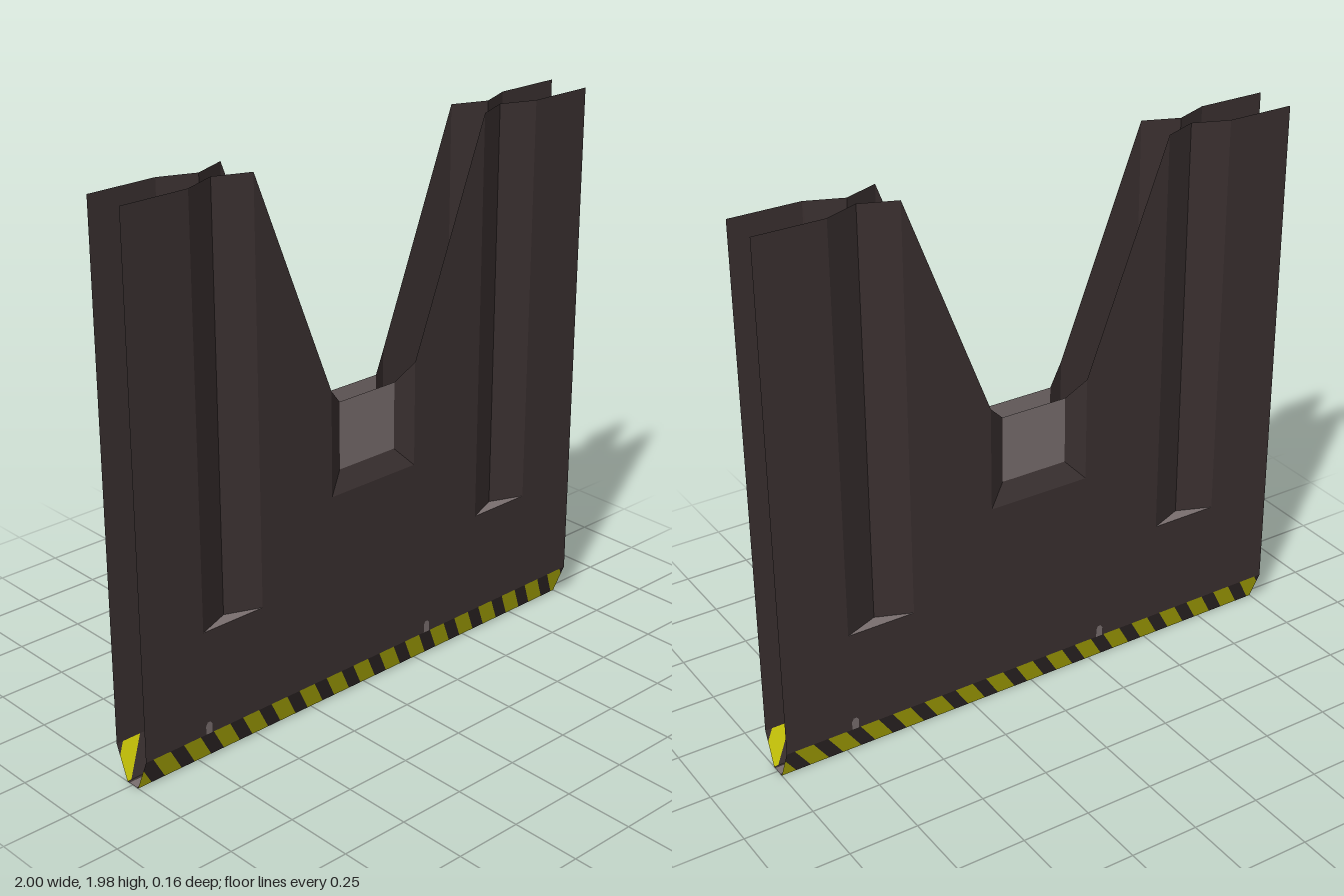
import * as THREE from 'three';

const dark = new THREE.MeshStandardMaterial({ name: 'dark metal', color: 0x3b3131, side: THREE.DoubleSide });
const grey = new THREE.MeshStandardMaterial({ name: 'worn grey', color: 0x7a6f6f, side: THREE.DoubleSide });
const yellow = new THREE.MeshStandardMaterial({ name: 'hazard yellow', color: 0xd2cf08, side: THREE.DoubleSide });

const H = 1.98, SKIRT = 0.12;      // wall height, top of the sloping skirt
const ZF = 0.078, ZI = 0.028;      // outer face and groove depth
const ZP = 0.045;                  // pocket depth

function addMesh(parent, name, geometry, material) {
  const mesh = new THREE.Mesh(geometry, material);
  mesh.name = name;
  parent.add(mesh);
  return mesh;
}

// Flat convex polygons, each a list of corners counter-clockwise from outside
function polygons(list) {
  const pos = [];
  for (const p of list)
    for (let i = 1; i < p.length - 1; i++) pos.push(...p[0], ...p[i], ...p[i + 1]);
  const g = new THREE.BufferGeometry();
  g.setAttribute('position', new THREE.Float32BufferAttribute(pos, 3));
  g.computeVertexNormals();
  return g;
}

const flat = (pts) => new THREE.ShapeGeometry(new THREE.Shape(pts.map(([x, y]) => new THREE.Vector2(x, y))));

// Cut a convex polygon at x = limit, keeping the side where sign * x is smaller
function clipX(poly, limit, sign) {
  const out = [];
  poly.forEach((a, i) => {
    const b = poly[(i + 1) % poly.length];
    const da = sign * (limit - a[0]), db = sign * (limit - b[0]);
    if (da >= 0) out.push(a);
    if (da * db < 0) {
      const t = da / (da - db);
      out.push([a[0] + (b[0] - a[0]) * t, a[1] + (b[1] - a[1]) * t]);
    }
  });
  return out;
}

// Slanted bands on the skirt, starting at a given phase
function skirtBands(start, width) {
  const step = 0.125, lean = 0.08, list = [];
  for (let i = -1; i < 18; i++) {
    const x = -1 + start + i * step;
    let p = [[x + lean, 0], [x + lean + width, 0], [x + width, SKIRT], [x, SKIRT]];
    p = clipX(clipX(p, 1, 1), -1, -1);
    if (p.length > 2) list.push(p.map(([px, y]) => [px, y, ZI + (ZF - ZI) * y / SKIRT]));
  }
  return polygons(list);
}

function makeSide(name) {
  const side = new THREE.Group();
  side.name = name;

  // Main plate with the V notch, pocket opening and two groove slots
  const half = [[1, SKIRT], [1, H], [0.75, H], [0.75, 0.5], [0.5, 0.5], [0.5, H], [0.19, 1.18], [0.19, 0.8]];
  const outline = [...half, ...half.map(([x, y]) => [-x, y]).reverse()];
  addMesh(side, 'wallPlate', flat(outline), dark).position.z = ZF;

  // Vertical V grooves with a ledge at the foot
  for (const x of [-0.625, 0.625]) {
    const l = x - 0.125, r = x + 0.125;
    addMesh(side, 'grooveWalls', polygons([
      [[l, 0.5, ZF], [x, 0.5, ZI], [x, H, ZI], [l, H, ZF]],
      [[x, 0.5, ZI], [r, 0.5, ZF], [r, H, ZF], [x, H, ZI]],
    ]), dark);
    addMesh(side, 'grooveLedge', polygons([[[l, 0.5, ZF], [r, 0.5, ZF], [x, 0.5, ZI]]]), grey);
  }

  // Bevelled pocket below the notch
  const o = 0.19, n = 0.125, yb = 0.87, yt = 1.115;
  addMesh(side, 'pocketBevel', polygons([
    [[-o, 0.8, ZF], [o, 0.8, ZF], [n, yb, ZP], [-n, yb, ZP]],
    [[-o, 0.8, ZF], [-n, yb, ZP], [-n, yt, ZP], [-o, 1.18, ZF]],
    [[o, 0.8, ZF], [o, 1.18, ZF], [n, yt, ZP], [n, yb, ZP]],
  ]), dark);
  addMesh(side, 'pocketPanel', polygons([[[-n, yb, ZP], [n, yb, ZP], [n, yt, ZP], [-n, yt, ZP]]]), grey);

  // Sloping hazard skirt
  addMesh(side, 'skirtYellowBands', skirtBands(0.03, 0.07), yellow);
  addMesh(side, 'skirtDarkBands', skirtBands(0.1, 0.055), dark);

  // Small worn marks above the skirt
  for (const x of [-0.74, 0.26]) {
    const mark = flat([[-0.013, 0], [0.013, 0], [0.013, 0.035], [0.006, 0.045], [-0.006, 0.045], [-0.013, 0.033]]);
    addMesh(side, 'wornMark', mark, grey).position.set(x, SKIRT, ZF + 0.002);
  }
  return side;
}

export function createModel() {
  const model = new THREE.Group();
  model.name = 'barrierWall';
  model.add(makeSide('frontSide'));
  const back = makeSide('backSide');
  back.rotation.y = Math.PI;
  model.add(back);

  // Narrow base strip with a stepped dark border
  const steps = [[-1, -0.018]];
  for (let c = -0.8; c < 1; c += 0.5)
    steps.push([c - 0.11, -0.018], [c - 0.07, 0.008], [c + 0.07, 0.008], [c + 0.11, -0.018]);
  steps.push([1, -0.018]);
  const strips = [
    ['baseDarkBorder', [[-1, -ZI], [1, -ZI], ...[...steps].reverse()], dark],
    ['baseGreyStrip', [...steps, [1, 0.02], [-1, 0.02]], grey],
    ['baseDarkEdge', [[-1, 0.02], [1, 0.02], [1, ZI], [-1, ZI]], dark],
  ];
  for (const [name, pts, material] of strips)
    addMesh(model, name, flat(pts).rotateX(Math.PI / 2), material);
  return model;
}
